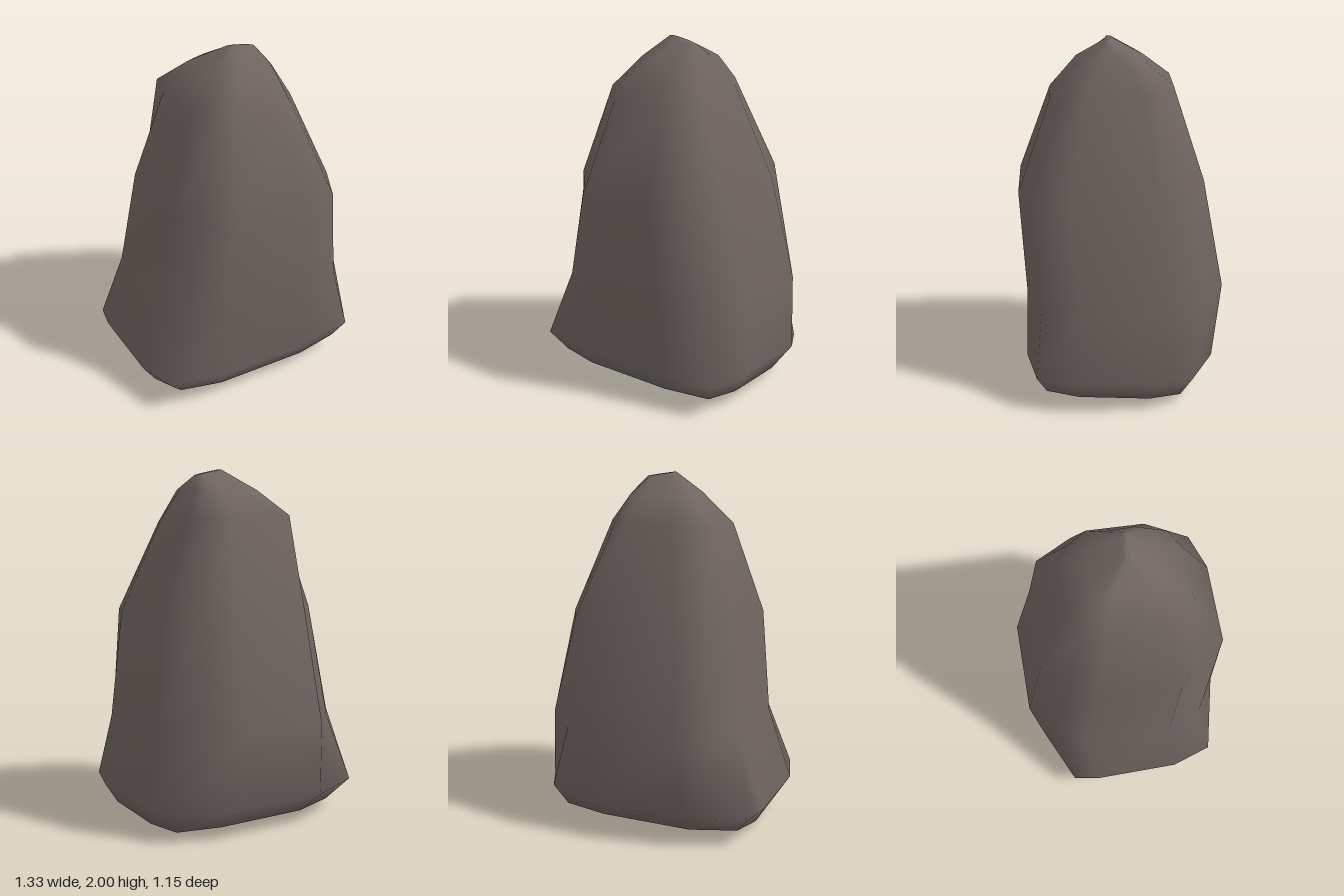
import * as THREE from 'three';

const FLAT = 0.46; // share of each side that runs straight before the corner

// One twelve-point cross-section: two points per side and one per corner.
// corners: reach of each corner as [x, z] shares, in the order +x+z, -x+z, -x-z, +x-z
// shift: sideways move of the front and back faces; tilt: slope of the section
function ring({ y, x, z, corners, shift = 0, tiltX = 0, tiltZ = 0 }) {
  const cx = (x[0] + x[1]) / 2, hx = (x[1] - x[0]) / 2;
  const cz = (z[0] + z[1]) / 2, hz = (z[1] - z[0]) / 2;
  const [a, b, c, d] = corners;
  const s = shift / hx;
  const unit = [
    [1, -FLAT], [1, FLAT], [a[0], a[1]],
    [FLAT + s, 1], [-FLAT + s, 1], [-b[0], b[1]],
    [-1, FLAT], [-1, -FLAT], [-c[0], -c[1]],
    [-FLAT + s, -1], [FLAT + s, -1], [d[0], -d[1]],
  ];
  return unit.map(([u, v]) => [cx + u * hx, y + u * tiltX + v * tiltZ, cz + v * hz]);
}

// Join the sections into one closed, smooth skin
function loft(rings) {
  const n = rings[0].length;
  const points = rings.flat();
  const index = [];
  for (let r = 0; r < rings.length - 1; r++) {
    for (let i = 0; i < n; i++) {
      const a = r * n + i, b = r * n + (i + 1) % n;
      index.push(a, a + n, b, b, a + n, b + n);
    }
  }
  // Caps at the base and the peak
  const middle = (ps) => [0, 1, 2].map((k) => ps.reduce((s, p) => s + p[k], 0) / n);
  const last = rings.length - 1;
  const base = points.push(middle(rings[0])) - 1;
  const peak = points.push(middle(rings[last])) - 1;
  for (let i = 0; i < n; i++) {
    const j = (i + 1) % n;
    index.push(base, i, j, peak, last * n + j, last * n + i);
  }
  const geometry = new THREE.BufferGeometry();
  geometry.setAttribute('position', new THREE.Float32BufferAttribute(points.flat(), 3));
  geometry.setIndex(index);
  geometry.computeVertexNormals();
  return geometry;
}

export function createModel() {
  const stone = new THREE.MeshStandardMaterial({ color: 0x6e6460 });
  stone.name = 'stone';

  const sections = [
    // Underside, rising to the flared foot
    { y: 0, x: [-0.3, 0.3], z: [-0.18, 0.3],
      corners: [[0.97, 0.97], [0.97, 0.97], [0.8, 0.9], [0.95, 0.95]] },
    { y: 0.065, x: [-0.59, 0.59], z: [-0.37, 0.49], tiltZ: 0.025,
      corners: [[0.9, 0.88], [0.86, 0.86], [0.9, 0.8], [0.9, 0.88]] },
    { y: 0.185, x: [-0.665, 0.665], z: [-0.52, 0.55], tiltZ: 0.015,
      corners: [[0.89, 0.89], [0.89, 0.89], [0.96, 0.72], [0.89, 0.74]] },
    // Body, with a waist on the -x side
    { y: 0.6, x: [-0.53, 0.63], z: [-0.575, 0.54], shift: -0.05,
      corners: [[0.78, 0.85], [0.86, 0.81], [0.81, 0.72], [0.66, 0.82]] },
    { y: 1.2, x: [-0.46, 0.525], z: [-0.46, 0.575], shift: -0.03, tiltZ: -0.025,
      corners: [[0.81, 0.86], [0.8, 0.66], [0.74, 0.69], [0.77, 0.87]] },
    // Rounded shoulders and off-centre peak
    { y: 1.72, x: [-0.3, 0.315], z: [-0.29, 0.39], tiltZ: -0.03,
      corners: [[0.82, 0.8], [0.74, 0.82], [0.92, 0.84], [0.76, 0.79]] },
    { y: 1.885, x: [-0.135, 0.225], z: [-0.135, 0.24],
      corners: [[0.89, 0.78], [0.63, 0.78], [1.05, 0.82], [0.86, 0.86]] },
    { y: 1.985, x: [0, 0.165], z: [0.04, 0.085], tiltX: -0.015,
      corners: [[0.74, 0.74], [0.74, 0.74], [0.74, 0.74], [0.74, 0.74]] },
  ];

  const boulder = new THREE.Mesh(loft(sections.map(ring)), stone);
  boulder.name = 'boulder';

  const group = new THREE.Group();
  group.name = 'standingRock';
  group.add(boulder);
  return group;
}
